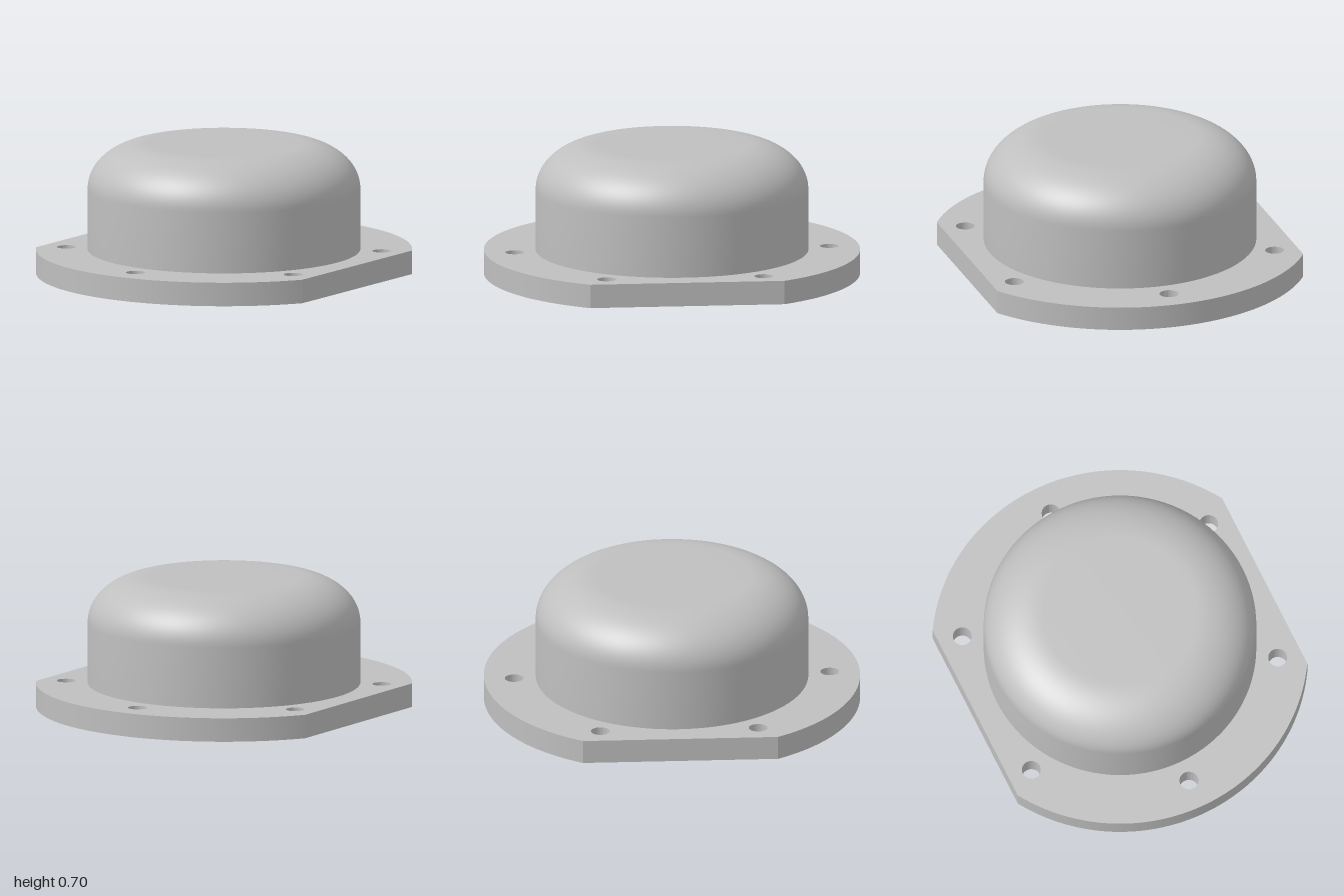
import * as THREE from 'three';
import { toCreasedNormals } from 'three/addons/utils/BufferGeometryUtils.js';

const FLANGE_R = 1, FLANGE_HALF = 0.855, FLANGE_H = 0.127;
const WALL_R = 0.725, BORE_R = 0.683, TOP = 0.7, CEILING = 0.57;
const FILLET_Y = 0.455, FLAT_R = 0.41;
const BOLT_CIRCLE = 0.84, BOLT_R = 0.05;

export function createModel() {
  const group = new THREE.Group();
  const metal = new THREE.MeshStandardMaterial({ color: 0xbfbfbf });
  metal.name = 'greyMetal';

  const add = (name, geometry) => {
    const mesh = new THREE.Mesh(toCreasedNormals(geometry, 0.45), metal);
    mesh.name = name;
    group.add(mesh);
    return mesh;
  };
  const circle = (x, y, r) => new THREE.Path().absarc(x, y, r, 0, Math.PI * 2, true);
  const v = (x, y) => new THREE.Vector2(x, y);

  // Mounting flange: a disc with two flat sides, a bore and six bolt holes
  const cut = Math.acos(FLANGE_HALF / FLANGE_R);
  const outline = new THREE.Shape();
  outline.absarc(0, 0, FLANGE_R, cut, Math.PI - cut, false);
  outline.absarc(0, 0, FLANGE_R, Math.PI + cut, Math.PI * 2 - cut, false);
  outline.closePath();
  outline.holes.push(circle(0, 0, BORE_R));
  for (let i = 0; i < 6; i++) {
    const a = Math.PI / 2 + i * Math.PI / 3;
    outline.holes.push(circle(BOLT_CIRCLE * Math.cos(a), BOLT_CIRCLE * Math.sin(a), BOLT_R));
  }
  const flange = new THREE.ExtrudeGeometry(outline, {
    depth: FLANGE_H, bevelEnabled: false, curveSegments: 48,
  });
  flange.rotateX(-Math.PI / 2);
  add('flange', flange);

  // Domed cap: straight wall, rounded shoulder and flat top
  const profile = [v(WALL_R, FLANGE_H)];
  const steps = 20;
  for (let i = 0; i <= steps; i++) {
    const a = (i / steps) * Math.PI / 2;
    profile.push(v(FLAT_R + (WALL_R - FLAT_R) * Math.cos(a),
      FILLET_Y + (TOP - FILLET_Y) * Math.sin(a)));
  }
  profile.push(v(0, TOP));
  add('domedCap', new THREE.LatheGeometry(profile, 96));

  // Inner cavity: flat ceiling and straight wall down to the flange bore
  add('cavity', new THREE.LatheGeometry(
    [v(0, CEILING), v(BORE_R, CEILING), v(BORE_R, FLANGE_H)], 96));

  return group;
}
